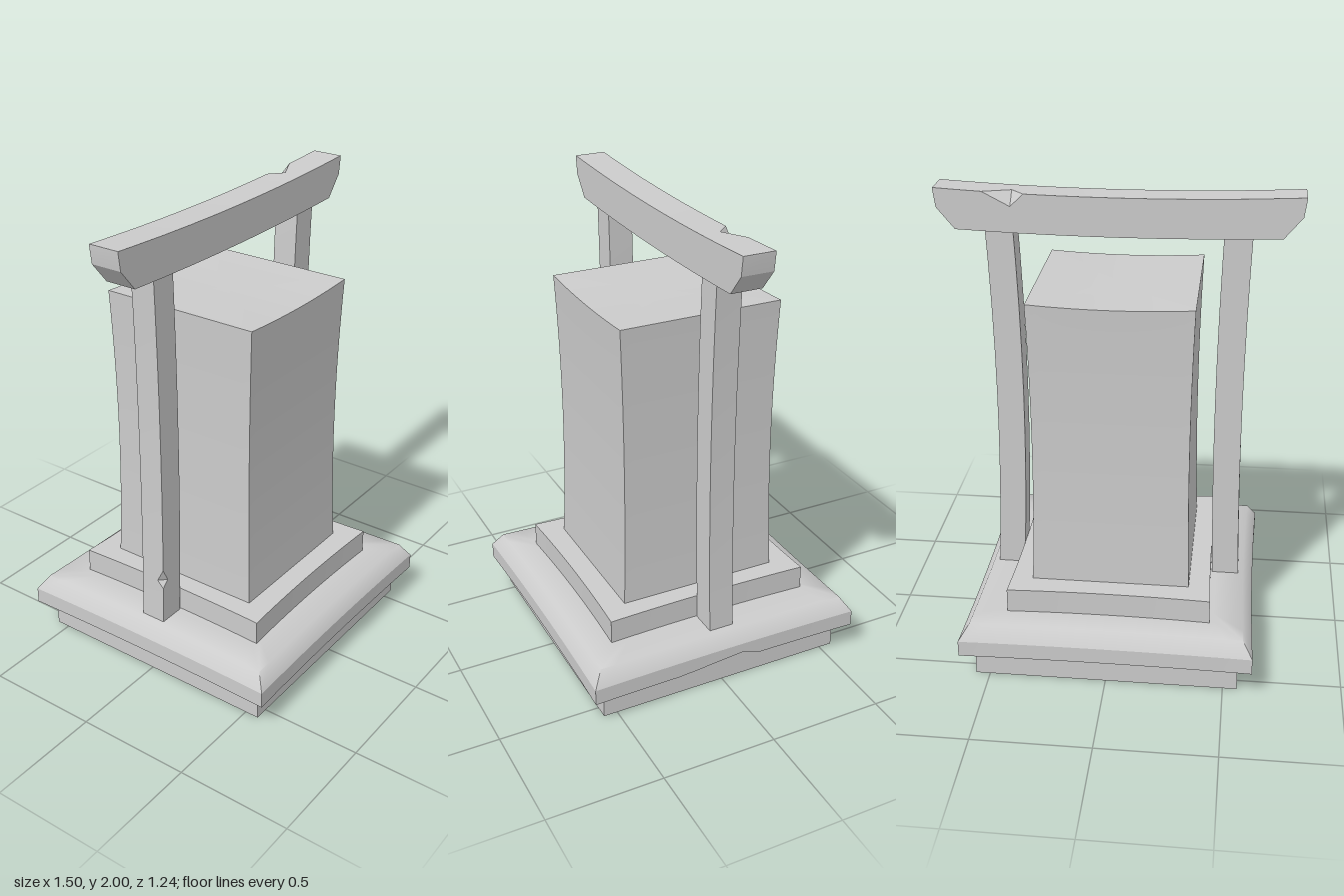
import * as THREE from 'three';
import { toCreasedNormals } from 'three/addons/utils/BufferGeometryUtils.js';

const mat = new THREE.MeshStandardMaterial({ color: 0xcccccc });

// Skin a stack of rings (arrays of [x, y, z], counterclockwise about the stacking direction)
function loft(name, rings, { bottom = true, top = true, crease = 0.5 } = {}) {
  const pos = [];
  const tri = (a, b, c) => pos.push(...a, ...b, ...c);
  const centre = (r) => [0, 1, 2].map((k) => {
    const v = r.map((p) => p[k]);
    return (Math.min(...v) + Math.max(...v)) / 2;
  });
  for (let j = 0; j < rings.length - 1; j++) {
    const a = rings[j], b = rings[j + 1];
    a.forEach((p, i) => {
      const n = (i + 1) % a.length;
      tri(p, a[n], b[n]);
      tri(p, b[n], b[i]);
    });
  }
  const cap = (r, flip, c = centre(r)) => r.forEach((p, i) => {
    const q = r[(i + 1) % r.length];
    flip ? tri(c, q, p) : tri(c, p, q);
  });
  if (bottom) cap(rings[0], true);
  if (top) {
    const r = rings[rings.length - 1], c = centre(r);
    c[1] = Math.min(...r.map((p) => p[1])) || c[1];
    cap(r, false, c);
  }
  const geo = new THREE.BufferGeometry();
  geo.setAttribute('position', new THREE.Float32BufferAttribute(pos, 3));
  const mesh = new THREE.Mesh(toCreasedNormals(geo, crease), mat);
  mesh.name = name;
  return mesh;
}

// Rectangular ring whose sides are worn inwards by "bow" at their middles
function rectRing(hx, hz, y, bow = 0, n = 16) {
  const ring = [];
  for (let side = 0; side < 4; side++) {
    for (let i = 0; i < n; i++) {
      const t = 1 - (2 * i) / n;
      const inset = 1 - bow * (1 - t * t);
      const [u, v] = [[inset, t], [t, -inset], [-inset, -t], [-t, inset]][side];
      ring.push([u * hx, y, v * hz]);
    }
  }
  return ring;
}

// Post with a hollow inward curve and an optional chipped outer corner
function post(name, side, bow, chipY) {
  const levels = [0.26, 0.38, 0.43, 0.46, 0.52, 0.7, 0.9, 1.1, 1.3, 1.5, 1.7, 1.84];
  const rings = levels.map((y) => {
    const t = (y - 1.04) / 0.8;
    const x = side * (0.4875 - bow * Math.max(0, 1 - t * t));
    const w = 0.058, d = 0.055, c = y === chipY ? 0.03 : 0;
    return [[x + w, y, d], [x + w, y, -d], [x - w, y, -d], [x - w, y, d - c], [x - w + c, y, d]];
  });
  return loft(name, rings);
}

export function createModel() {
  const group = new THREE.Group();

  // Plinth
  group.add(loft('plinth', [rectRing(0.56, 0.56, 0), rectRing(0.56, 0.56, 0.135)]));

  // Ledge rim with a shallow chip along its lower edge on one side
  const chip = (z) => Math.max(0, Math.min((0.21 - z) / 0.29, (z + 0.155) / 0.075, 1)) * 0.028;
  const rim = rectRing(0.62, 0.62, 0.125, 0.015);
  const onChip = (p) => p[0] > 0.59 && Math.abs(p[2]) < 0.3;
  const rimLow = rim.map((p) => onChip(p) ? [p[0] - chip(p[2]) * 1.8, p[1], p[2]] : p);
  const rimChip = rim.map((p) => [p[0], p[1] + (onChip(p) ? chip(p[2]) : 0), p[2]]);
  group.add(loft('ledgeRim', [rimLow, rimChip, rectRing(0.62, 0.62, 0.195, 0.015)], { top: false }));

  // Sloping upper edge of the ledge, blending softly into its flat top
  group.add(loft('ledgeTop', [
    rectRing(0.62, 0.62, 0.195, 0.015),
    rectRing(0.577, 0.577, 0.26, 0.015),
    rectRing(0.45, 0.45, 0.26),
  ], { bottom: false, crease: 1.0 }));

  // Step under the block
  const step = loft('step', [rectRing(0.433, 0.463, 0.25, 0.025), rectRing(0.433, 0.463, 0.365, 0.025)]);
  group.add(step);

  // Tall block with a slight waist and a dished top
  const blockRings = [];
  for (let i = 0; i <= 12; i++) {
    const t = i / 6 - 1, s = 1 - t * t;
    const ring = rectRing(0.337 - 0.011 * s, 0.357 - 0.014 * s, 0.36 + (1.26 * i) / 12);
    if (i === 12) ring.forEach((p) => { p[1] -= 0.012 * (1 - (p[0] / 0.337) ** 2); });
    blockRings.push(ring);
  }
  group.add(loft('block', blockRings));

  // Posts
  group.add(post('leftPost', 1, 0.022));
  group.add(post('rightPost', -1, 0.014, 0.46));

  // Cross beam: sagging top, cut-back ends, one chip on the rear top edge
  const xs = [-0.75, -0.74, -0.665, -0.5, -0.33, -0.16, 0, 0.13, 0.26, 0.38, 0.435, 0.55, 0.665, 0.74, 0.75];
  const front = 0.066, back = -0.07;
  const beamRings = xs.map((x) => {
    const a = Math.abs(x);
    const top = 1.978 + 0.022 * (a / 0.75) ** 2;
    const low = a > 0.745 ? 1.995 : a > 0.7 ? 1.92 : 1.815 + 0.015 * (a / 0.665) ** 2;
    const c = x === 0.435 ? 0.055 : 0;
    return [[x, top, front], [x, low, front], [x, low, back], [x, top - c, back], [x, top, back + c]];
  });
  group.add(loft('crossBeam', beamRings));

  return group;
}
